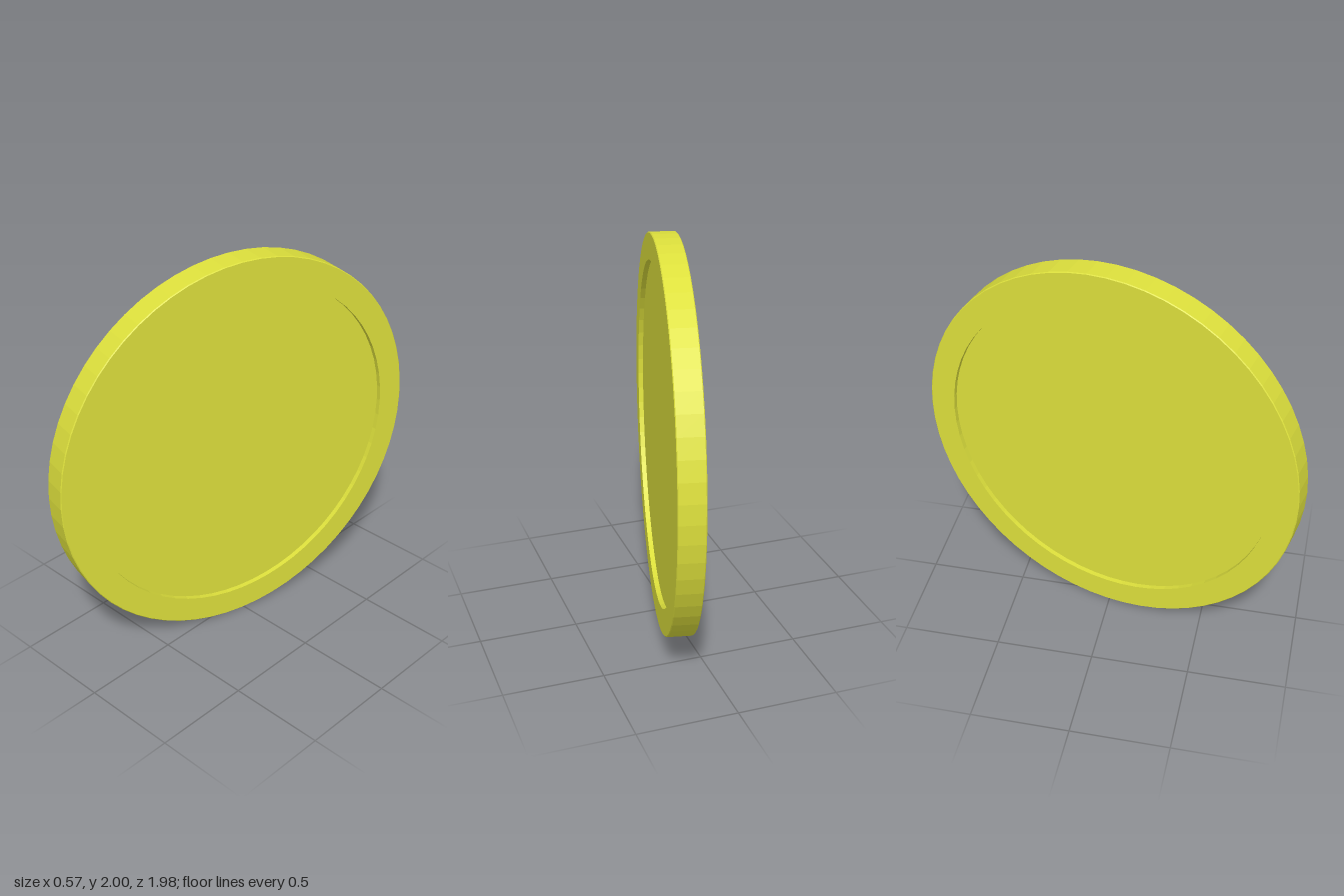
import * as THREE from 'three';

const RADIUS = 1, HALF = 0.065, INNER = 0.865, DEPTH = 0.025, BEVEL = 0.004;

export function createModel() {
  const group = new THREE.Group();
  group.name = 'coin';

  // Half section of one side, from the axis out to the edge
  const side = [
    [0, HALF - DEPTH],
    [INNER, HALF - DEPTH],
    [INNER, HALF],
    [RADIUS - BEVEL, HALF],
    [RADIUS, HALF - BEVEL],
  ];
  // Mirror it for the other side: recessed floor, raised rim and edge on both faces
  const profile = [
    ...side.map(([r, h]) => new THREE.Vector2(r, -h)),
    ...side.map(([r, h]) => new THREE.Vector2(r, h)).reverse(),
  ];

  const disc = new THREE.Mesh(
    new THREE.LatheGeometry(profile, 64),
    new THREE.MeshStandardMaterial({ color: 0xdde03c, flatShading: true })
  );
  disc.name = 'coinDisc';
  disc.rotation.z = -Math.PI / 2; // stand on edge, faces toward +x and -x
  group.add(disc);

  // Turned slightly about the vertical
  group.rotation.y = -THREE.MathUtils.degToRad(13);
  group.position.y = RADIUS;
  return group;
}
